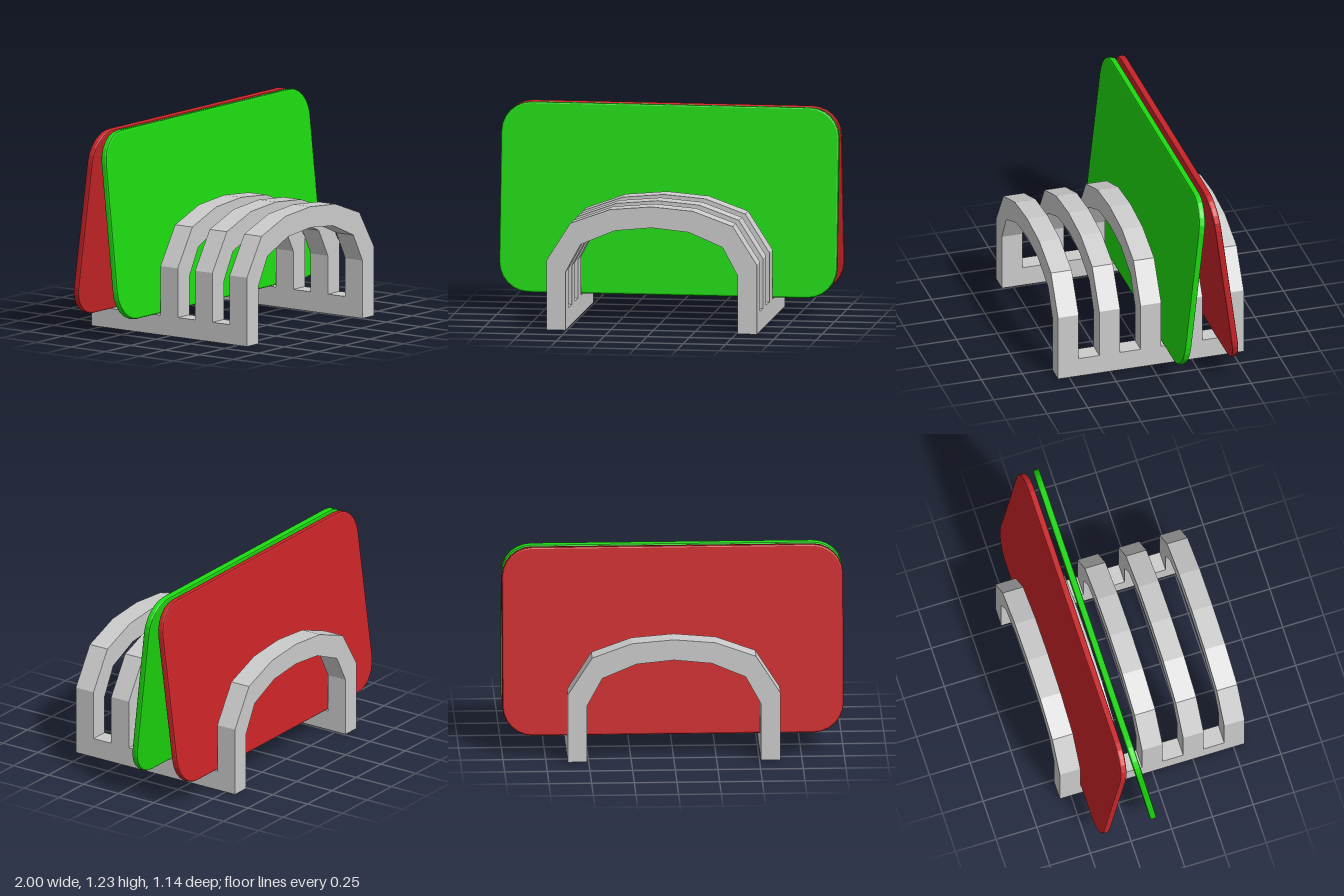
import * as THREE from 'three';

const material = (color) => new THREE.MeshStandardMaterial({ color, flatShading: true });

// Closed shape from a half profile (x > 0), mirrored across x = 0
function archShape(outer, inner) {
  const mirror = (pts) => pts.slice(0, -1).reverse().map(([x, y]) => [-x, y]);
  const loop = [...outer, ...mirror(outer), ...[...inner, ...mirror(inner)].reverse()];
  return new THREE.Shape(loop.map(([x, y]) => new THREE.Vector2(x, y)));
}

// Rectangle with rounded corners
function roundedRect(w, h, r) {
  const s = new THREE.Shape();
  const x = w / 2 - r, y = h / 2 - r;
  s.absarc(x, y, r, 0, Math.PI / 2);
  s.absarc(-x, y, r, Math.PI / 2, Math.PI);
  s.absarc(-x, -y, r, Math.PI, Math.PI * 1.5);
  s.absarc(x, -y, r, Math.PI * 1.5, Math.PI * 2);
  return s;
}

export function createModel() {
  const model = new THREE.Group();
  const grey = material(0xcccccc);
  const railHeight = 0.117, archDepth = 0.126, spacing = 0.2525;

  const rack = new THREE.Group();
  rack.name = 'rack';
  model.add(rack);

  // Five faceted arches in a row
  const archGeometry = new THREE.ExtrudeGeometry(archShape(
    [[0.623, railHeight], [0.623, 0.41], [0.48, 0.635], [0.245, 0.72], [0, 0.741]],
    [[0.509, railHeight], [0.509, 0.345], [0.42, 0.51], [0.22, 0.595], [0, 0.617]],
  ), { depth: archDepth, bevelEnabled: false });
  archGeometry.translate(0, 0, -archDepth / 2);
  for (let i = -2; i <= 2; i++) {
    const arch = new THREE.Mesh(archGeometry, grey);
    arch.name = 'arch';
    arch.position.z = i * spacing;
    rack.add(arch);
  }

  // Base rails joining the feet of the arches
  const railGeometry = new THREE.BoxGeometry(0.114, railHeight, 4 * spacing + archDepth);
  for (const side of [1, -1]) {
    const rail = new THREE.Mesh(railGeometry, grey);
    rail.name = side > 0 ? 'leftRail' : 'rightRail';
    rail.position.set(side * 0.566, railHeight / 2, 0);
    rack.add(rail);
  }

  // Two bevelled boards leaning towards each other
  const bevel = 0.01, thickness = 0.04;
  const boardGeometry = new THREE.ExtrudeGeometry(
    roundedRect(2 - 2 * bevel, 1.118 - 2 * bevel, 0.167),
    {
      depth: thickness - 2 * bevel, bevelThickness: bevel, bevelSize: bevel,
      bevelSegments: 2, curveSegments: 3,
    },
  );
  boardGeometry.translate(0, 0, -thickness / 2 + bevel);
  for (const [name, color, z, tilt] of [
    ['greenBoard', 0x1cd80f, -0.156, -0.107],
    ['redBoard', 0xc82428, -0.349, 0.13],
  ]) {
    const board = new THREE.Mesh(boardGeometry, material(color));
    board.name = name;
    board.position.set(0, 0.678, z);
    board.rotation.x = tilt;
    model.add(board);
  }

  return model;
}
